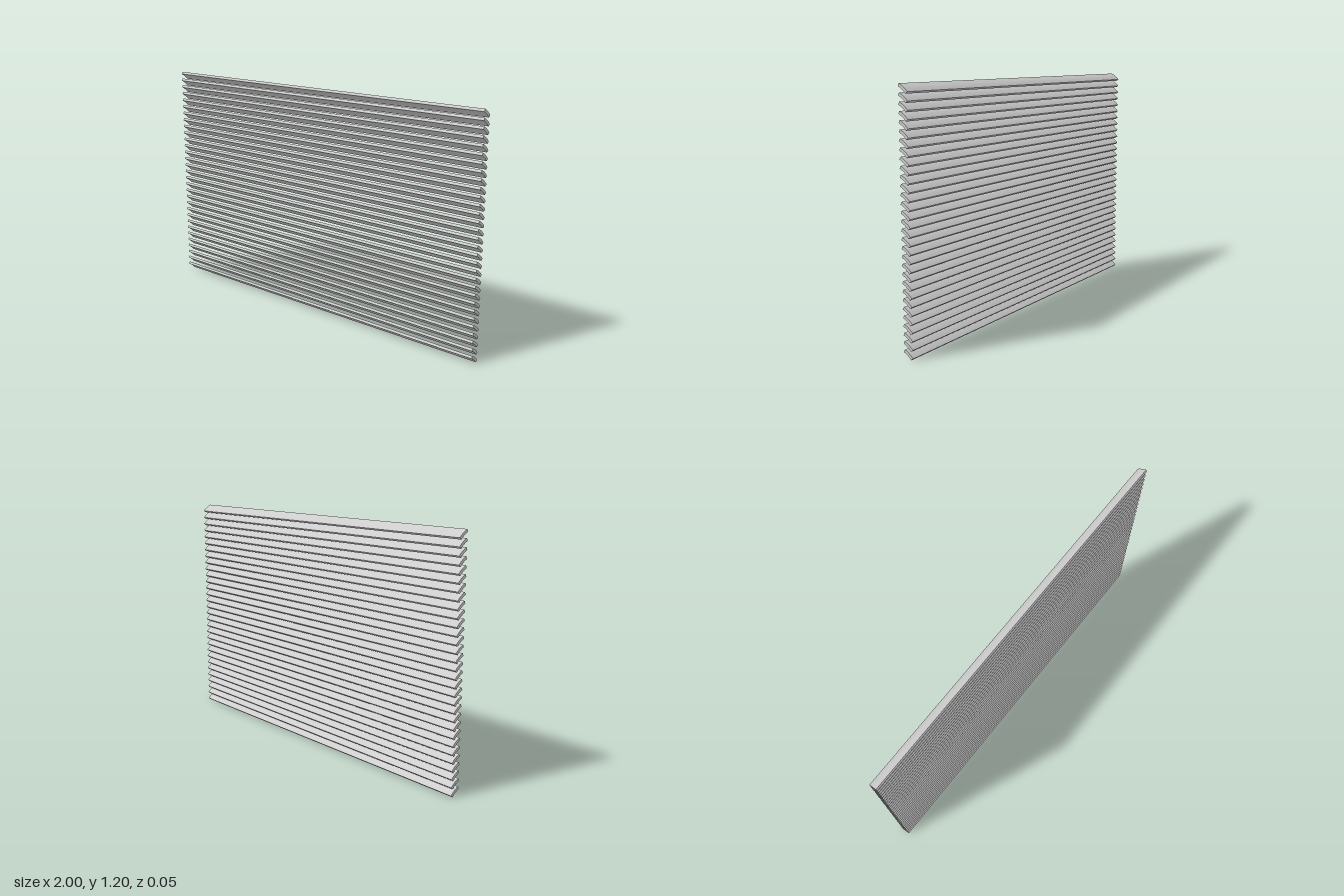
import * as THREE from 'three';
import { toCreasedNormals } from 'three/addons/utils/BufferGeometryUtils.js';

const COUNT = 31, PITCH = 0.0385, LENGTH = 2;
const INNER = 0.116, OUTER = 0.1295;
const FRONT = THREE.MathUtils.degToRad(25), BACK = THREE.MathUtils.degToRad(50);

// Curved slat: an arc-shaped strip sloping down to the back, lowest point at y = 0
function slatGeometry() {
  const up = Math.PI / 2;
  const shape = new THREE.Shape();
  shape.absarc(0, 0, OUTER, up + FRONT, up + BACK, false);
  shape.absarc(0, 0, INNER, up + BACK, up + FRONT, true);
  shape.closePath();
  const geo = new THREE.ExtrudeGeometry(shape, { depth: LENGTH, bevelEnabled: false, curveSegments: 8 });
  geo.rotateY(-Math.PI / 2); // profile into the z-y plane, length along x
  geo.computeBoundingBox();
  const { min, max } = geo.boundingBox;
  geo.translate(-(min.x + max.x) / 2, -min.y, -(min.z + max.z) / 2);
  return toCreasedNormals(geo, 0.5);
}

export function createModel() {
  const blind = new THREE.Group();
  blind.name = 'slattedBlind';
  const material = new THREE.MeshStandardMaterial({ color: 0xcccccc });
  const geometry = slatGeometry();

  // Evenly spaced stack of identical slats
  for (let i = 0; i < COUNT; i++) {
    const slat = new THREE.Mesh(geometry, material);
    slat.name = `slat${i + 1}`;
    slat.position.y = i * PITCH;
    blind.add(slat);
  }
  return blind;
}
